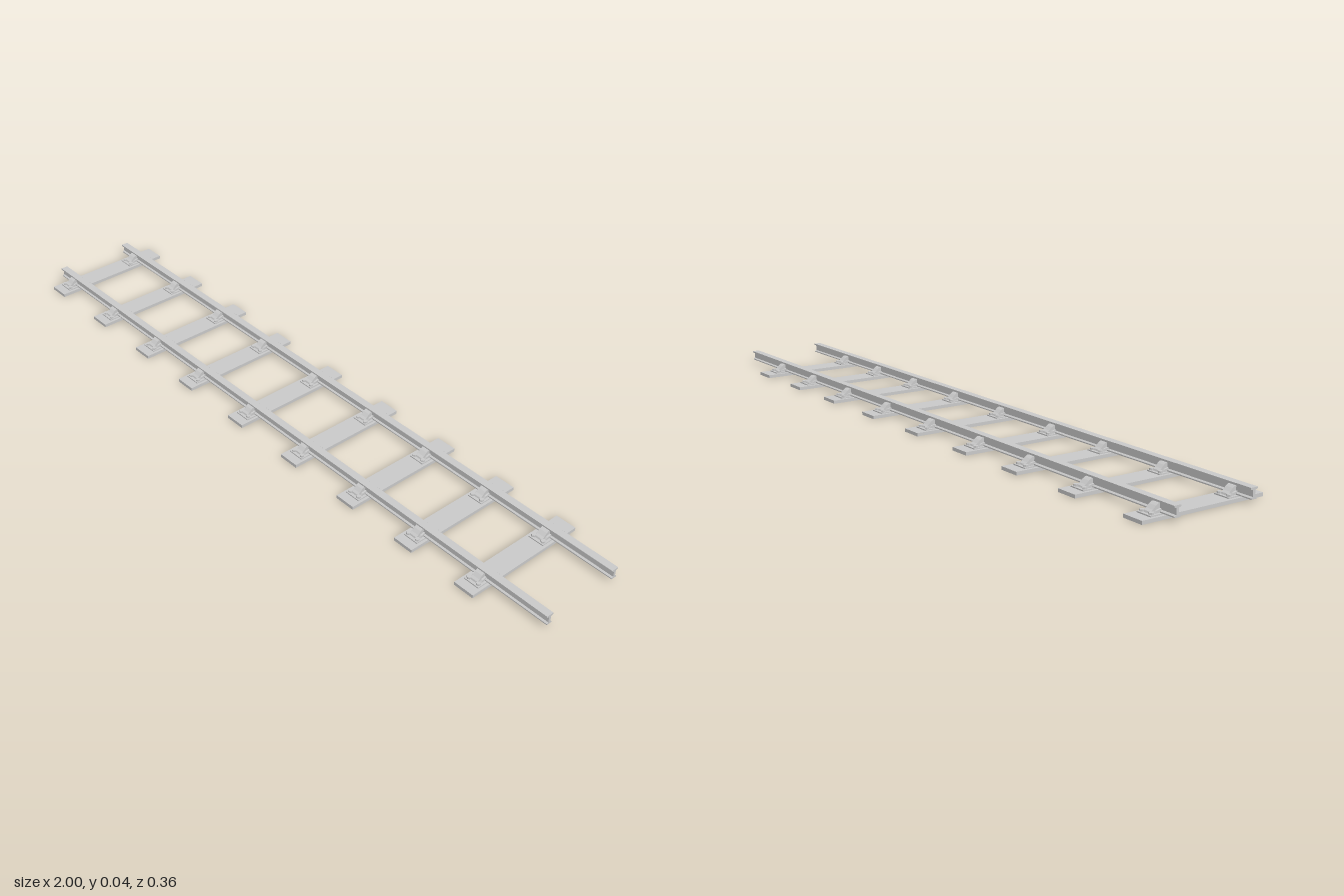
import * as THREE from 'three';

const grey = new THREE.MeshStandardMaterial({ color: 0xcccccc, flatShading: true });

// Extrude a (z, y) outline along x, centred on x = 0
function extrudeX(points, length) {
  const shape = new THREE.Shape(points.map(([z, y]) => new THREE.Vector2(z, y)));
  const geo = new THREE.ExtrudeGeometry(shape, { depth: length, bevelEnabled: false });
  geo.translate(0, 0, -length / 2);
  geo.rotateY(-Math.PI / 2);
  return geo;
}

// Close a half outline by mirroring it about z = 0
const mirrored = half => [...half, ...half.slice().reverse().map(([z, y]) => [-z, y])];

function add(parent, name, geo, x = 0, y = 0, z = 0) {
  const mesh = new THREE.Mesh(geo, grey);
  mesh.name = name;
  mesh.position.set(x, y, z);
  parent.add(mesh);
  return mesh;
}

const sleeperGeo = new THREE.BoxGeometry(0.06, 0.009, 0.362);
const plateGeo = new THREE.BoxGeometry(0.045, 0.003, 0.075);
const boltGeo = new THREE.CylinderGeometry(0.006, 0.006, 0.006, 6);
const railGeo = extrudeX(mirrored([
  [0.008, 0.012], [0.008, 0.015], [0.0035, 0.018], [0.0035, 0.034],
  [0.0105, 0.036], [0.0105, 0.04],
]), 2);
// One sloping jaw of a chair, on the +z side of the rail
const jawGeo = extrudeX([
  [0.002, 0.011], [0.03, 0.011], [0.028, 0.016], [0.022, 0.02],
  [0.014, 0.028], [0.008, 0.032], [0.002, 0.032],
], 0.022);
const cheekGeo = extrudeX([
  [0.002, 0.011], [0.022, 0.011], [0.016, 0.018], [0.002, 0.021],
], 0.032);

// Chair that clamps the rail to a sleeper
function makeChair() {
  const chair = new THREE.Group();
  chair.name = 'railChair';
  add(chair, 'basePlate', plateGeo, 0, 0.0105, 0);
  for (const side of [1, -1]) {
    const half = new THREE.Group();
    half.name = side > 0 ? 'frontJaw' : 'backJaw';
    if (side < 0) half.rotation.y = Math.PI;
    add(half, 'jaw', jawGeo);
    add(half, 'cheek', cheekGeo);
    for (const x of [-0.015, 0.015]) add(half, 'bolt', boltGeo, x, 0.014, 0.029);
    chair.add(half);
  }
  return chair;
}

export function createModel() {
  const track = new THREE.Group();
  track.name = 'railwayTrack';
  const rails = [
    { name: 'frontRail', z: 0.118, spread: 1 },
    { name: 'backRail', z: -0.11, spread: 1.08 },
  ];
  for (const { name, z } of rails) add(track, name, railGeo, 0, 0, z);

  // Slightly uneven sleepers, each with a chair under both rails
  for (const x of [-0.938, -0.714, -0.495, -0.286, -0.061, 0.163, 0.382, 0.591, 0.794]) {
    const unit = new THREE.Group();
    unit.name = 'sleeperUnit';
    unit.position.x = x;
    add(unit, 'sleeper', sleeperGeo, 0, 0.0045, 0);
    for (const { z, spread } of rails) {
      const chair = makeChair();
      chair.position.z = z;
      chair.scale.z = spread;
      unit.add(chair);
    }
    track.add(unit);
  }
  return track;
}
